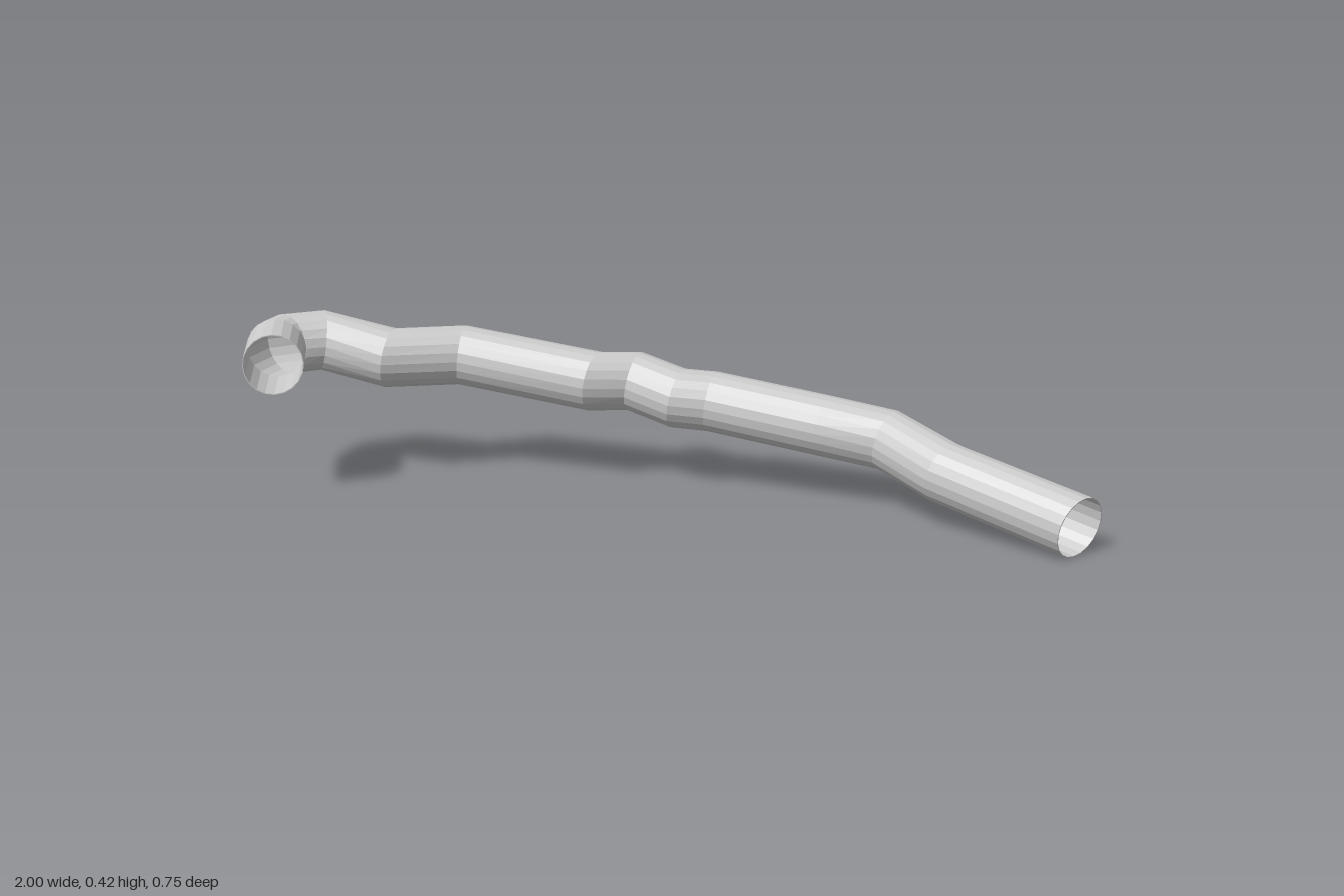
import * as THREE from 'three';

const SIDES = 20;
const RADIUS = 0.0735;
const WALL = 0.97; // inner radius as a share of the outer

// Mitred joints along the pipe: back edge x, z, front edge x, z, centre height
const JOINTS = [
  [-0.90, 0.37, -0.786, 0.283, 0.348],
  [-0.989, 0.235, -0.862, 0.168, 0.348],
  [-1.0, 0.139, -0.86, 0.17, 0.348],
  [-0.92, 0.032, -0.826, 0.138, 0.348],
  [-0.722, -0.032, -0.69, 0.107, 0.312],
  [-0.60, -0.15, -0.551, -0.016, 0.306],
  [-0.251, -0.23, -0.24, -0.086, 0.262],
  [-0.182, -0.298, -0.16, -0.152, 0.255],
  [-0.059, -0.294, -0.043, -0.148, 0.229],
  [0.016, -0.326, 0.037, -0.182, 0.222],
  [0.295, -0.362, 0.31, -0.216, 0.19],
  [0.47, -0.383, 0.449, -0.239, 0.17],
  [0.652, -0.31, 0.604, -0.176, 0.133],
  [1.0, -0.24, 0.941, -0.105, 0.078],
];

function pipeGeometry() {
  const centres = JOINTS.map(([bx, bz, fx, fz, y]) => new THREE.Vector3((bx + fx) / 2, y, (bz + fz) / 2));
  const last = JOINTS.length - 1;

  // Cross-section of joint i, scaled towards its centre
  const ring = (i, scale) => {
    const [bx, bz, fx, fz] = JOINTS[i];
    const side = new THREE.Vector3((bx - fx) / 2, 0, (bz - fz) / 2);
    const along = centres[Math.min(i + 1, last)].clone().sub(centres[Math.max(i - 1, 0)]);
    const up = along.cross(side).setLength(RADIUS);
    return Array.from({ length: SIDES }, (_, j) => {
      const a = (j / SIDES) * Math.PI * 2;
      return centres[i].clone()
        .addScaledVector(side, Math.cos(a) * scale)
        .addScaledVector(up, Math.sin(a) * scale);
    });
  };

  // Outer skin forwards, inner skin backwards, joined by a rim at each end
  const outer = JOINTS.map((_, i) => ring(i, 1));
  const inner = JOINTS.map((_, i) => ring(i, WALL)).reverse();
  const loops = [...outer, ...inner];
  const positions = loops.flat().flatMap((p) => p.toArray());
  const index = [];
  loops.forEach((_, i) => {
    const a0 = i * SIDES;
    const b0 = ((i + 1) % loops.length) * SIDES;
    for (let j = 0; j < SIDES; j++) {
      const k = (j + 1) % SIDES;
      index.push(a0 + j, a0 + k, b0 + j, a0 + k, b0 + k, b0 + j);
    }
  });

  const geometry = new THREE.BufferGeometry();
  geometry.setAttribute('position', new THREE.Float32BufferAttribute(positions, 3));
  geometry.setIndex(index);
  geometry.computeVertexNormals();
  return geometry;
}

export function createModel() {
  const group = new THREE.Group();
  group.name = 'bentPipe';
  const material = new THREE.MeshStandardMaterial({
    color: 0xcccccc, flatShading: true, side: THREE.DoubleSide,
  });
  const pipe = new THREE.Mesh(pipeGeometry(), material);
  pipe.name = 'pipe';
  group.add(pipe);
  return group;
}
